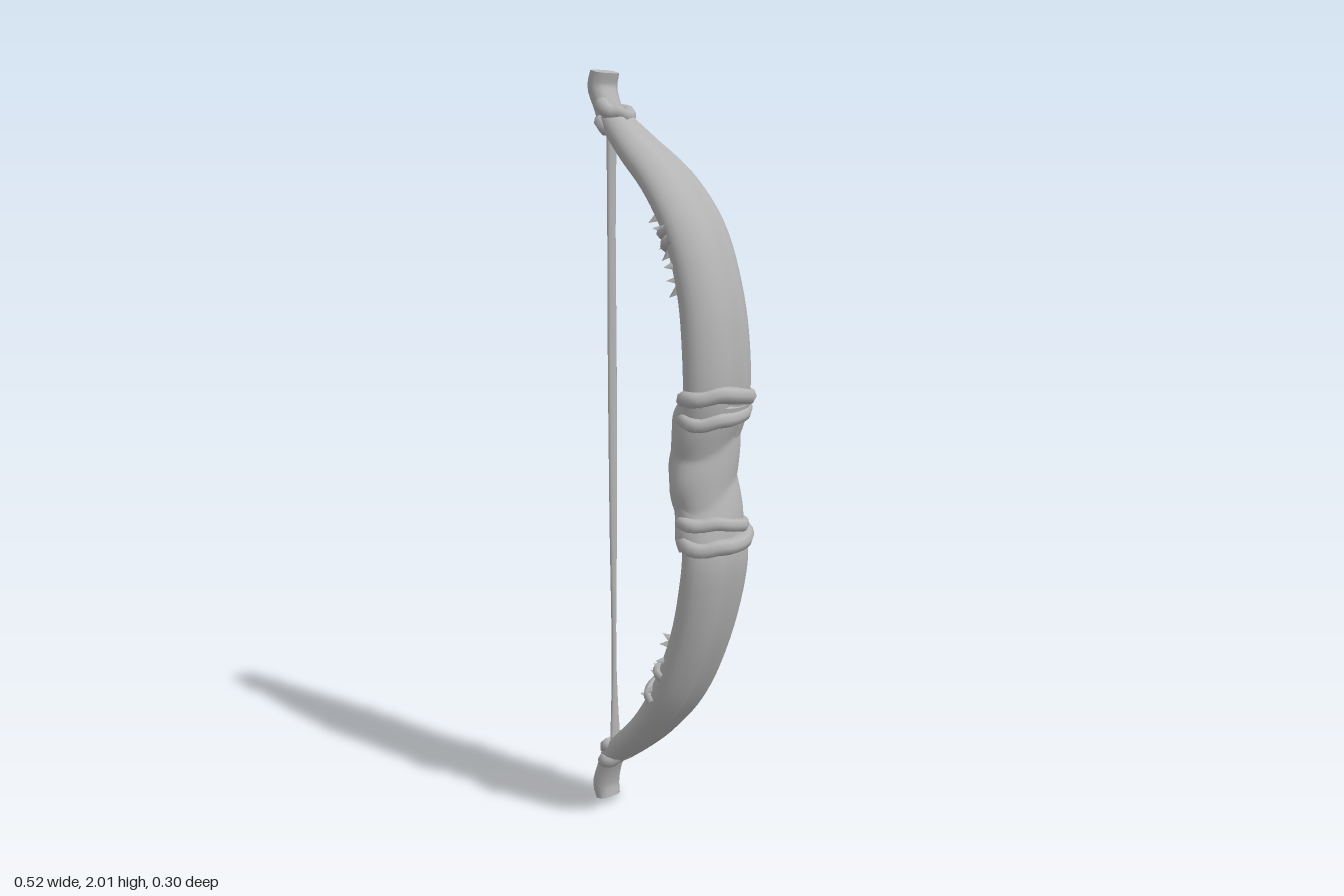
import * as THREE from 'three';

const V3 = (x, y, z) => new THREE.Vector3(x, y, z);
const spline = (pts) => new THREE.CatmullRomCurve3(pts, false, 'catmullrom');

// rows: [x, y, half depth, half width]; the path lies in the plane z = 0
function makePath(rows) {
  const centre = spline(rows.map(([x, y]) => V3(x, y, 0)));
  const size = spline(rows.map(([, , a, b]) => V3(a, b, 0)));
  return (t) => {
    const c = centre.getPoint(t), s = size.getPoint(t);
    const tan = centre.getTangent(t);
    return { c, tan, out: V3(tan.y, -tan.x, 0), a: s.x, b: s.y };
  };
}

// Sweeps an oval section along a path, with capped ends; shape(angle, t) scales [depth, width]
function sweep(path, steps, sides, shape) {
  const pos = [], idx = [];
  const ring = (t) => {
    const f = path(t);
    for (let j = 0; j < sides; j++) {
      const ang = (j / sides) * Math.PI * 2, [k, m] = shape(ang, t);
      const p = f.c.clone().addScaledVector(f.out, f.a * Math.cos(ang) * k);
      p.z += f.b * Math.sin(ang) * m;
      pos.push(p.x, p.y, p.z);
    }
  };
  for (let i = 0; i <= steps; i++) ring(i / steps);
  for (let i = 0; i < steps; i++) for (let j = 0; j < sides; j++) {
    const a = i * sides + j, b = i * sides + (j + 1) % sides;
    idx.push(a, a + sides, b, b, a + sides, b + sides);
  }
  for (const end of [0, 1]) {
    const base = pos.length / 3;
    ring(end);
    pos.push(...path(end).c.toArray());
    for (let j = 0; j < sides; j++) {
      const a = base + j, b = base + (j + 1) % sides;
      idx.push(base + sides, end ? b : a, end ? a : b);
    }
  }
  const g = new THREE.BufferGeometry();
  g.setAttribute('position', new THREE.Float32BufferAttribute(pos, 3));
  g.setIndex(idx);
  g.computeVertexNormals();
  return g;
}

export function createModel() {
  const model = new THREE.Group();
  const bow = new THREE.Group();
  bow.name = 'bow';
  bow.rotation.y = -0.33;
  bow.position.z = -0.016;
  model.add(bow);

  const grey = new THREE.MeshStandardMaterial({ color: 0xb4b4b4 });
  grey.name = 'grey';
  const add = (name, geo, parent = bow) => {
    const m = new THREE.Mesh(geo, grey);
    m.name = name;
    parent.add(m);
    return m;
  };

  // Curved limbs: two lobes side by side with a groove on the front and back
  const limb = makePath([
    [-0.2, 0.14, 0.035, 0.045], [-0.12, 0.2, 0.04, 0.065], [-0.025, 0.285, 0.045, 0.085],
    [0.065, 0.4, 0.052, 0.098], [0.14, 0.56, 0.056, 0.1], [0.183, 0.72, 0.058, 0.106],
    [0.188, 0.82, 0.058, 0.104], [0.155, 0.94, 0.058, 0.095], [0.155, 1.06, 0.058, 0.095],
    [0.19, 1.18, 0.06, 0.104], [0.188, 1.32, 0.062, 0.104], [0.165, 1.46, 0.06, 0.1],
    [0.112, 1.6, 0.055, 0.098], [0.02, 1.715, 0.05, 0.088], [-0.09, 1.8, 0.044, 0.068],
    [-0.19, 1.88, 0.036, 0.045],
  ]);
  add('limbs', sweep(limb, 72, 28, (g) => [1 - 0.22 * Math.exp(-((Math.sin(g) / 0.2) ** 2)), 1]));

  // Finds the limb section at a height
  const limbAt = (y) => {
    let lo = 0, hi = 1;
    for (let i = 0; i < 30; i++) {
      const mid = (lo + hi) / 2;
      if (limb(mid).c.y < y) lo = mid; else hi = mid;
    }
    return limb(lo);
  };
  const onLimb = (y, ang, k, lift = 0) => {
    const f = limbAt(y);
    const p = f.c.clone().addScaledVector(f.out, f.a * k * Math.cos(ang)).addScaledVector(f.tan, lift);
    p.z += f.b * k * Math.sin(ang);
    return p;
  };

  // Grip with spiral folds of wrapping
  const grip = makePath([
    [0.185, 0.81, 0.066, 0.106], [0.162, 0.9, 0.07, 0.1], [0.148, 1.0, 0.072, 0.1],
    [0.156, 1.1, 0.071, 0.1], [0.185, 1.19, 0.066, 0.108],
  ]);
  add('grip', sweep(grip, 44, 28, (g, t) => {
    const fold = Math.abs(Math.sin(t * 9 + g * 0.5 + 0.5 * Math.sin(2 * g)));
    const k = 0.96 + 0.09 * fold + 0.03 * Math.sin(t * 23 + 3 * g) * (1 - Math.cos(g)) / 2;
    return [k, k];
  }));

  // Closed bands of cord; tilt lifts one side, lean lifts the front
  const band = (name, x, y, a, b, r, tilt, lean) => {
    const pts = [];
    for (let i = 0; i < 14; i++) {
      const g = (i / 14) * Math.PI * 2, w = 1 + 0.03 * Math.sin(i * 2.4);
      pts.push(V3(x + a * w * Math.cos(g),
        y + tilt * Math.sin(g) + lean * Math.cos(g) + 0.004 * Math.sin(i * 1.9), b * w * Math.sin(g)));
    }
    const curve = new THREE.CatmullRomCurve3(pts, true);
    add(name, new THREE.TubeGeometry(curve, 40, r, 8, true));
  };
  band('upperGripBand', 0.19, 1.19, 0.056, 0.098, 0.022, 0.006, 0.012);
  band('upperGripBand', 0.182, 1.15, 0.056, 0.095, 0.02, -0.012, -0.008);
  band('lowerGripBand', 0.188, 0.83, 0.056, 0.097, 0.022, -0.006, -0.012);
  band('lowerGripBand', 0.178, 0.865, 0.056, 0.094, 0.019, 0.012, 0.006);

  // Knots that tie the string to the limb ends
  band('upperKnot', -0.183, 1.9, 0.03, 0.038, 0.02, 0.006, -0.014);
  band('upperKnot', -0.19, 1.87, 0.03, 0.036, 0.018, -0.008, -0.014);
  band('lowerKnot', -0.19, 0.135, 0.03, 0.038, 0.02, -0.006, 0.014);
  band('lowerKnot', -0.185, 0.165, 0.03, 0.036, 0.018, 0.008, 0.014);

  // Blocky curled tips
  const blocky = (g) => {
    const k = 1 / Math.pow(Math.cos(g) ** 4 + Math.sin(g) ** 4, 0.25);
    return [k, k];
  };
  add('upperTip', sweep(makePath([
    [-0.185, 1.85, 0.03, 0.035], [-0.212, 1.91, 0.027, 0.036],
    [-0.232, 1.96, 0.024, 0.041], [-0.222, 2.0, 0.021, 0.041],
  ]), 10, 12, blocky));
  add('lowerTip', sweep(makePath([
    [-0.228, 0.003, 0.022, 0.034], [-0.236, 0.045, 0.027, 0.037],
    [-0.22, 0.1, 0.027, 0.034], [-0.19, 0.17, 0.03, 0.034],
  ]), 10, 12, blocky));

  // Flat string, narrowing where its strands cross
  add('string', sweep(makePath([
    [-0.197, 0.16, 0.008, 0.02], [-0.2, 0.42, 0.006, 0.007], [-0.2, 0.8, 0.007, 0.013],
    [-0.2, 1.2, 0.007, 0.016], [-0.2, 1.6, 0.007, 0.015], [-0.197, 1.88, 0.009, 0.018],
  ]), 24, 8, () => [1, 1]));

  // Straps across the inner side of each limb, with torn splinters on both flanks
  for (const [name, y0, dir] of [['upper', 1.6, 1], ['lower', 0.42, -1]]) {
    for (const [dy, slant] of [[0.025, 0.02], [-0.025, -0.012]]) {
      const pts = [];
      for (let i = 0; i <= 8; i++) {
        const u = i / 4 - 1, ang = Math.PI + u * 1.6;
        pts.push(onLimb(y0 + dir * dy, ang, 1.02 - 0.1 * u ** 4, slant * u));
      }
      add(name + 'Strap', new THREE.TubeGeometry(spline(pts), 24, 0.015, 7));
    }
    const splinters = new THREE.Group();
    splinters.name = name + 'Splinters';
    bow.add(splinters);
    for (const side of [-1, 1]) for (let i = 0; i < 7; i++) {
      const y = y0 + dir * (0.05 - i * 0.031);
      const ang = Math.PI - side * (1.0 + 0.25 * Math.sin(i * 2.1));
      const p = onLimb(y, ang, 1.03), away = p.clone().sub(limbAt(y).c);
      away.normalize().y += dir * 0.5 * Math.sin(i * 1.7) - dir * 0.3;
      const m = add('splinter', new THREE.ConeGeometry(0.016, 0.045, 4), splinters);
      m.position.copy(p);
      m.quaternion.setFromUnitVectors(V3(0, 1, 0), away.normalize());
    }
  }
  return model;
}
